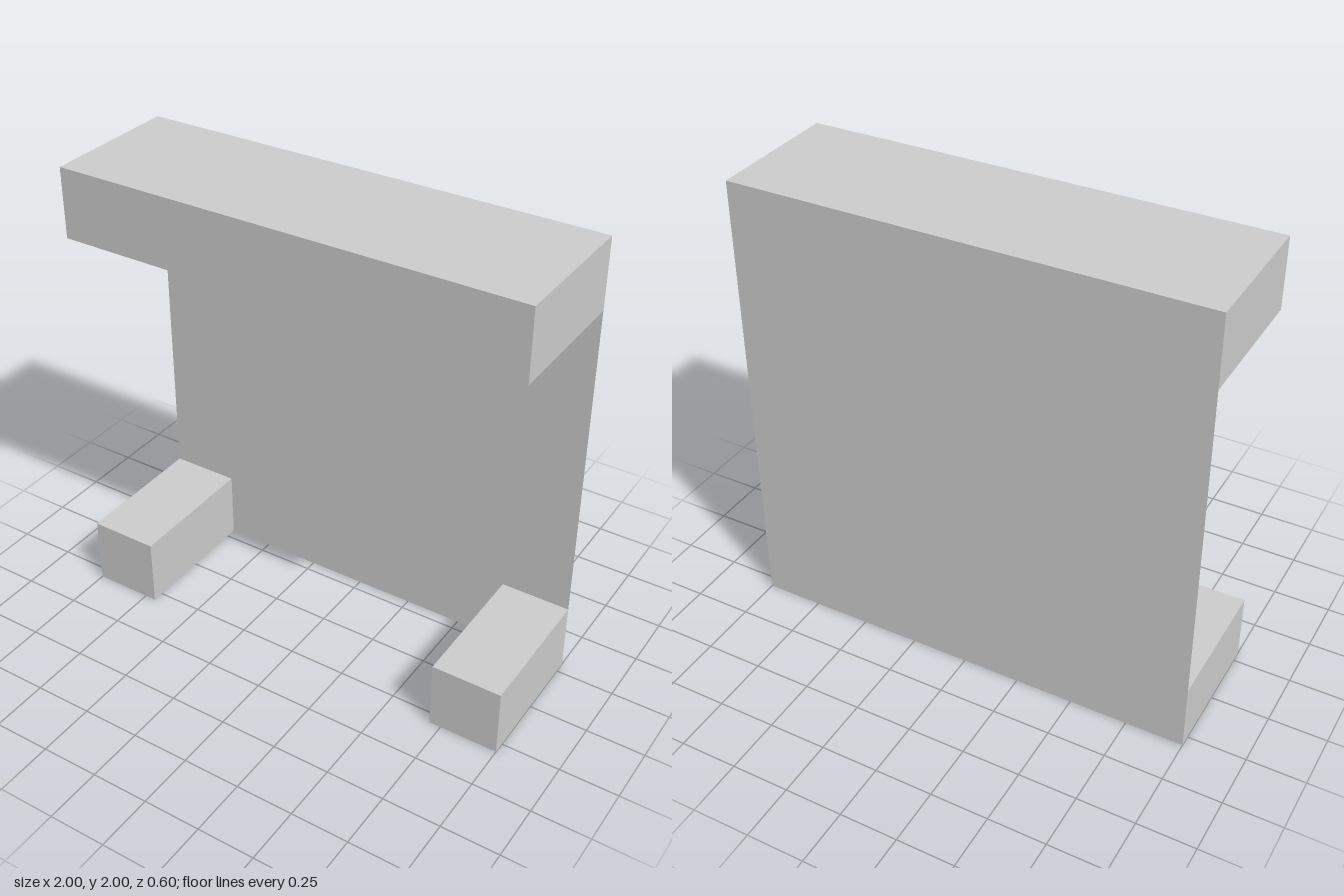
import * as THREE from 'three';

const WIDTH = 2, HEIGHT = 2, DEPTH = 0.6, BAR = 0.3;

export function createModel() {
  const model = new THREE.Group();
  model.name = 'panelFrame';
  const material = new THREE.MeshStandardMaterial({ color: 0xcccccc, flatShading: true });
  const sheetMaterial = material.clone();
  sheetMaterial.side = THREE.DoubleSide;

  const add = (name, geometry, mat, x, y, z) => {
    const mesh = new THREE.Mesh(geometry, mat);
    mesh.name = name;
    mesh.position.set(x, y, z);
    model.add(mesh);
  };

  // Paper-thin back sheet, flush with the rear of the blocks
  add('backPanel', new THREE.PlaneGeometry(WIDTH, HEIGHT), sheetMaterial, 0, HEIGHT / 2, -DEPTH / 2);

  // Full-width bar along the top
  add('topBar', new THREE.BoxGeometry(WIDTH, BAR, DEPTH), material, 0, HEIGHT - BAR / 2, 0);

  // Square foot block in each bottom corner
  for (const [name, side] of [['leftFoot', 1], ['rightFoot', -1]]) {
    add(name, new THREE.BoxGeometry(BAR, BAR, DEPTH), material, side * (WIDTH - BAR) / 2, BAR / 2, 0);
  }

  return model;
}
